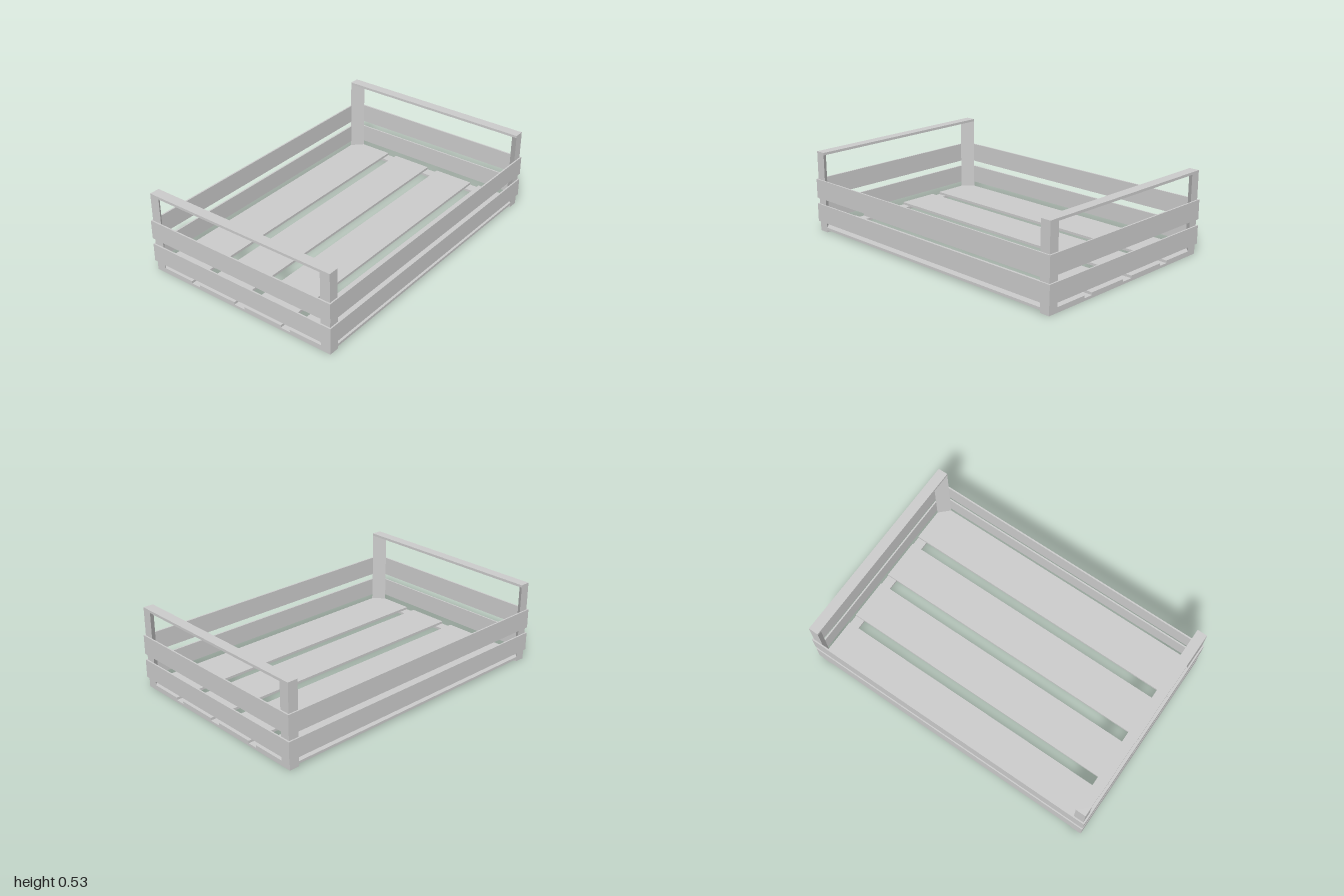
import * as THREE from 'three';

const X = 0.99, Z = 0.66;       // outer faces of the corner posts
const POST = 0.066;             // post leg width
const HEIGHT = 0.528;
const BOARD = 0.01;             // side board thickness
const PLY = 0.016;              // rail and floor slat thickness

export function createModel() {
  const crate = new THREE.Group();
  crate.name = 'crate';
  const material = new THREE.MeshStandardMaterial({ color: 0xcccccc, flatShading: true });

  const add = (name, geometry) => {
    const mesh = new THREE.Mesh(geometry, material);
    mesh.name = name;
    crate.add(mesh);
    return mesh;
  };
  // Box given by its minimum and maximum corners
  const box = (name, x0, x1, y0, y1, z0, z1) =>
    add(name, new THREE.BoxGeometry(x1 - x0, y1 - y0, z1 - z0))
      .position.set((x0 + x1) / 2, (y0 + y1) / 2, (z0 + z1) / 2);

  // Triangular corner posts, the slanted face looking into the crate
  for (const sx of [-1, 1]) {
    for (const sz of [-1, 1]) {
      const shape = new THREE.Shape([
        new THREE.Vector2(sx * X, -sz * Z),
        new THREE.Vector2(sx * (X - POST), -sz * Z),
        new THREE.Vector2(sx * X, -sz * (Z - POST)),
      ]);
      const geometry = new THREE.ExtrudeGeometry(shape, { depth: HEIGHT, bevelEnabled: false });
      geometry.rotateX(-Math.PI / 2);
      add('cornerPost', geometry);
    }
  }

  // Handle on top and runner underneath, at both ends
  for (const s of [-1, 1]) {
    const x0 = Math.min(s * X, s * (X - POST)), x1 = x0 + POST;
    box('handle', x0, x1, HEIGHT - PLY, HEIGHT, -Z, Z);
    box('runner', x0, x1, 0, PLY, -Z, Z);
  }

  // Two rows of boards around all four sides
  for (const [y0, y1] of [[0.064, 0.182], [0.221, 0.345]]) {
    for (const s of [-1, 1]) {
      const z = s * (Z + BOARD / 2 - 0.001), x = s * (X + BOARD / 2);
      box('longBoard', -X, X, y0, y1, z - BOARD / 2, z + BOARD / 2);
      box('endBoard', x - BOARD / 2, x + BOARD / 2, y0, y1, -Z - BOARD + 0.001, Z + BOARD - 0.001);
    }
  }

  // Floor slats resting on the runners
  for (const [z0, z1] of [[-Z, -0.375], [-0.31, -0.038], [0.038, 0.31], [0.375, Z]]) {
    box('floorSlat', -X, X, PLY, 2 * PLY, z0, z1);
  }
  return crate;
}
